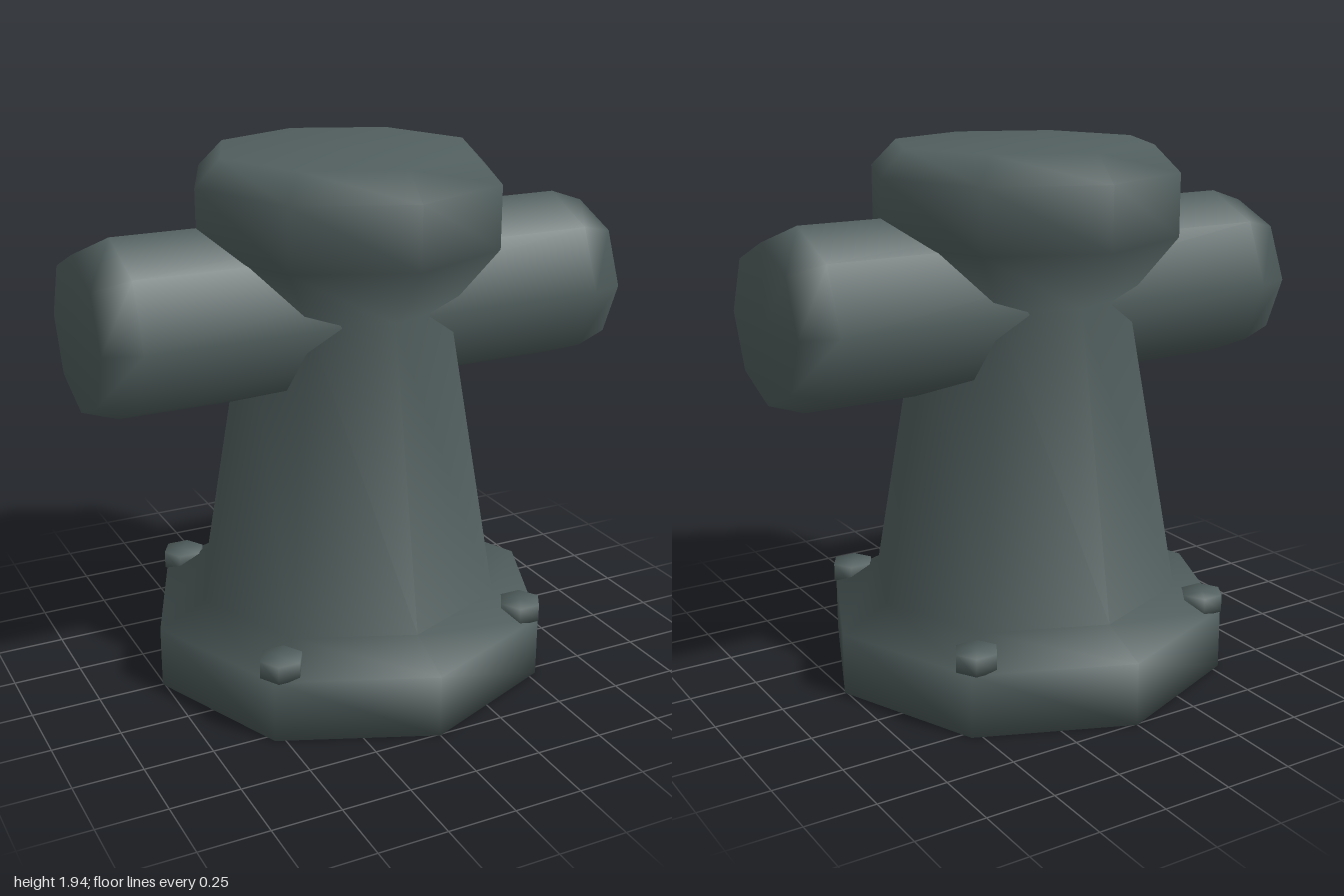
import * as THREE from 'three';

// Smooth lathe from [radius, height] pairs
const lathe = (points, sides, start = 0) =>
  new THREE.LatheGeometry(points.map(([r, y]) => new THREE.Vector2(r, y)), sides, start);

export function createModel() {
  const model = new THREE.Group();
  model.name = 'hydrant';
  const iron = new THREE.MeshStandardMaterial({ color: 0x52605f });
  iron.name = 'dark grey iron';

  const add = (name, geometry) => {
    const mesh = new THREE.Mesh(geometry, iron);
    mesh.name = name;
    model.add(mesh);
    return mesh;
  };

  // Foot flange, tapering barrel and flared head in one octagonal form
  add('body', lathe([
    [0, 0], [0.757, 0], [0.757, 0.23], [0.58, 0.31],
    [0.388, 1.4], [0.565, 1.62], [0.565, 1.845], [0.47, 1.94], [0, 1.94],
  ], 8));

  // Horizontal outlets with chamfered ends
  const outlets = add('sideOutlets', lathe([
    [0, -1], [0.275, -1], [0.32, -0.87], [0.32, 0.87], [0.275, 1], [0, 1],
  ], 8));
  outlets.rotation.z = Math.PI / 2;
  outlets.position.y = 1.39;

  // Hexagonal bolts on the flange corners
  const boltGeometry = lathe([[0, 0], [0.08, 0], [0.08, 0.065], [0, 0.065]], 6, Math.PI / 2);
  for (const x of [-1, 1]) {
    for (const z of [-1, 1]) {
      const bolt = add(`${z > 0 ? 'front' : 'back'}${x > 0 ? 'Left' : 'Right'}Bolt`, boltGeometry);
      bolt.position.set(0.485 * x, 0.23, 0.485 * z);
    }
  }
  return model;
}
